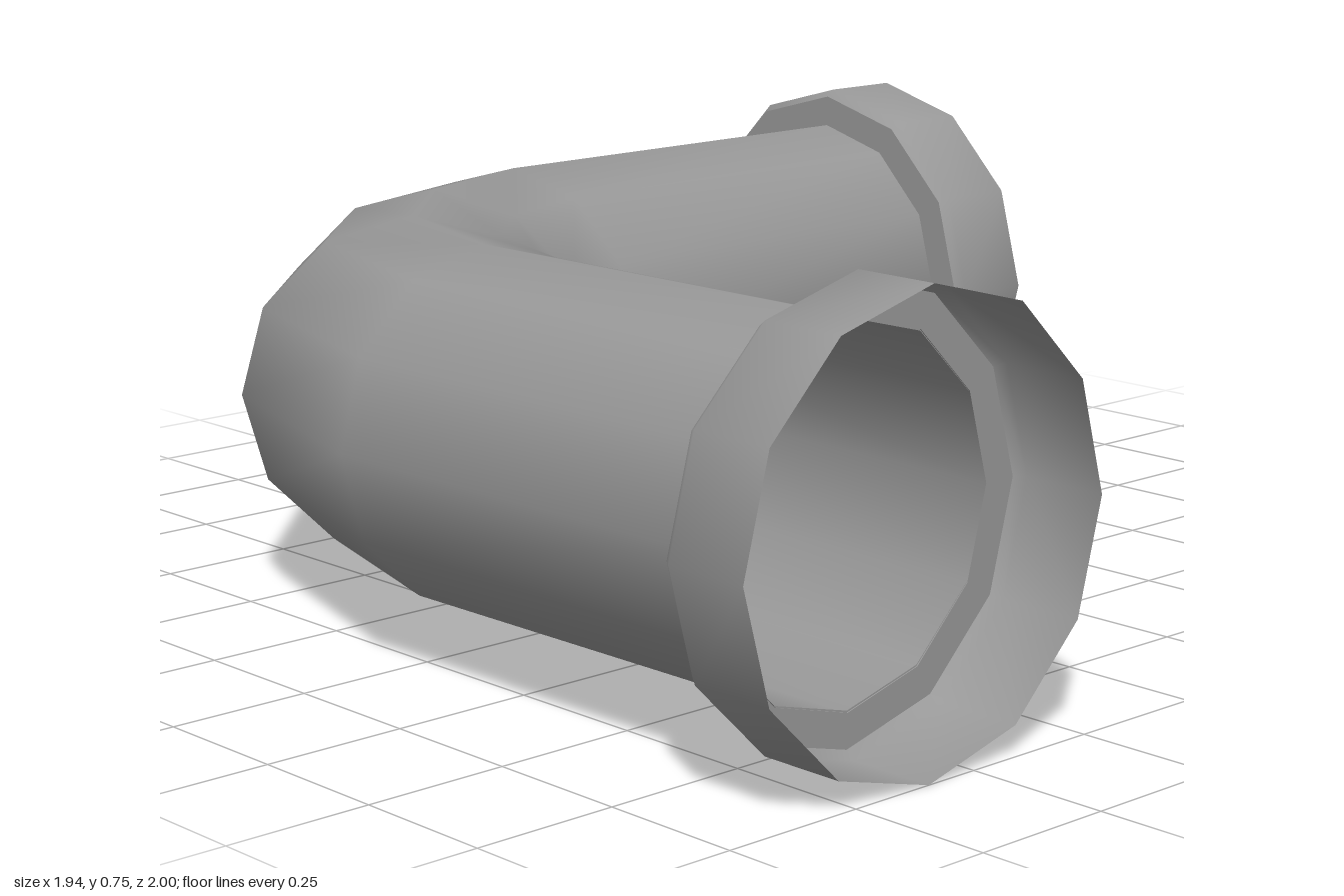
import * as THREE from 'three';
import { toCreasedNormals } from 'three/addons/utils/BufferGeometryUtils.js';

const SIDES = 12, RADIUS = 0.305, AXIS_Y = 0.378;

// [outer x, outer z, inner x, inner z] of each ring, front end to side end
const RINGS = [
  [-0.898, 0.83, -0.296, 0.83],
  [-0.907, -0.01, -0.3, -0.01],
  [-0.765, -0.485, -0.255, -0.16],
  [-0.47, -0.78, -0.145, -0.265],
  [-0.085, -0.917, 0, -0.317],
  [0.8, -0.927, 0.8, -0.323],
];

// Thin-walled elbow skinned over the rings
function pipeGeometry() {
  const positions = [], index = [];
  RINGS.forEach(([ox, oz, ix, iz], r) => {
    for (let j = 0; j < SIDES; j++) {
      const a = (j / SIDES) * Math.PI * 2, c = Math.cos(a) / 2;
      positions.push(
        (ox + ix) / 2 + (ox - ix) * c,
        AXIS_Y + RADIUS * Math.sin(a),
        (oz + iz) / 2 + (oz - iz) * c
      );
      if (r < RINGS.length - 1) {
        const p = r * SIDES + j, q = r * SIDES + ((j + 1) % SIDES);
        index.push(p, q, p + SIDES, q, q + SIDES, p + SIDES);
      }
    }
  });
  const g = new THREE.BufferGeometry();
  g.setAttribute('position', new THREE.Float32BufferAttribute(positions, 3));
  g.setIndex(index);
  g.computeVertexNormals();
  return g;
}

// Open socket: flat shoulder, small bevel blending into a straight wall
function collarGeometry() {
  const profile = [[0.302, 0], [0.364, 0], [0.377, 0.018], [0.377, 0.172]]
    .map(([r, y]) => new THREE.Vector2(r, y));
  return toCreasedNormals(new THREE.LatheGeometry(profile, SIDES), 0.8);
}

export function createModel() {
  const group = new THREE.Group();
  group.name = 'elbowPipe';
  const material = new THREE.MeshStandardMaterial({ color: 0x989898, side: THREE.DoubleSide });

  const add = (name, geometry) => {
    const mesh = new THREE.Mesh(geometry, material);
    mesh.name = name;
    group.add(mesh);
    return mesh;
  };

  add('bentPipe', pipeGeometry());

  const front = add('frontCollar', collarGeometry());
  front.rotation.x = Math.PI / 2;
  front.position.set(-0.597, AXIS_Y, 0.828);

  const side = add('sideCollar', collarGeometry());
  side.rotation.z = -Math.PI / 2;
  side.position.set(0.795, AXIS_Y, -0.623);

  return group;
}
